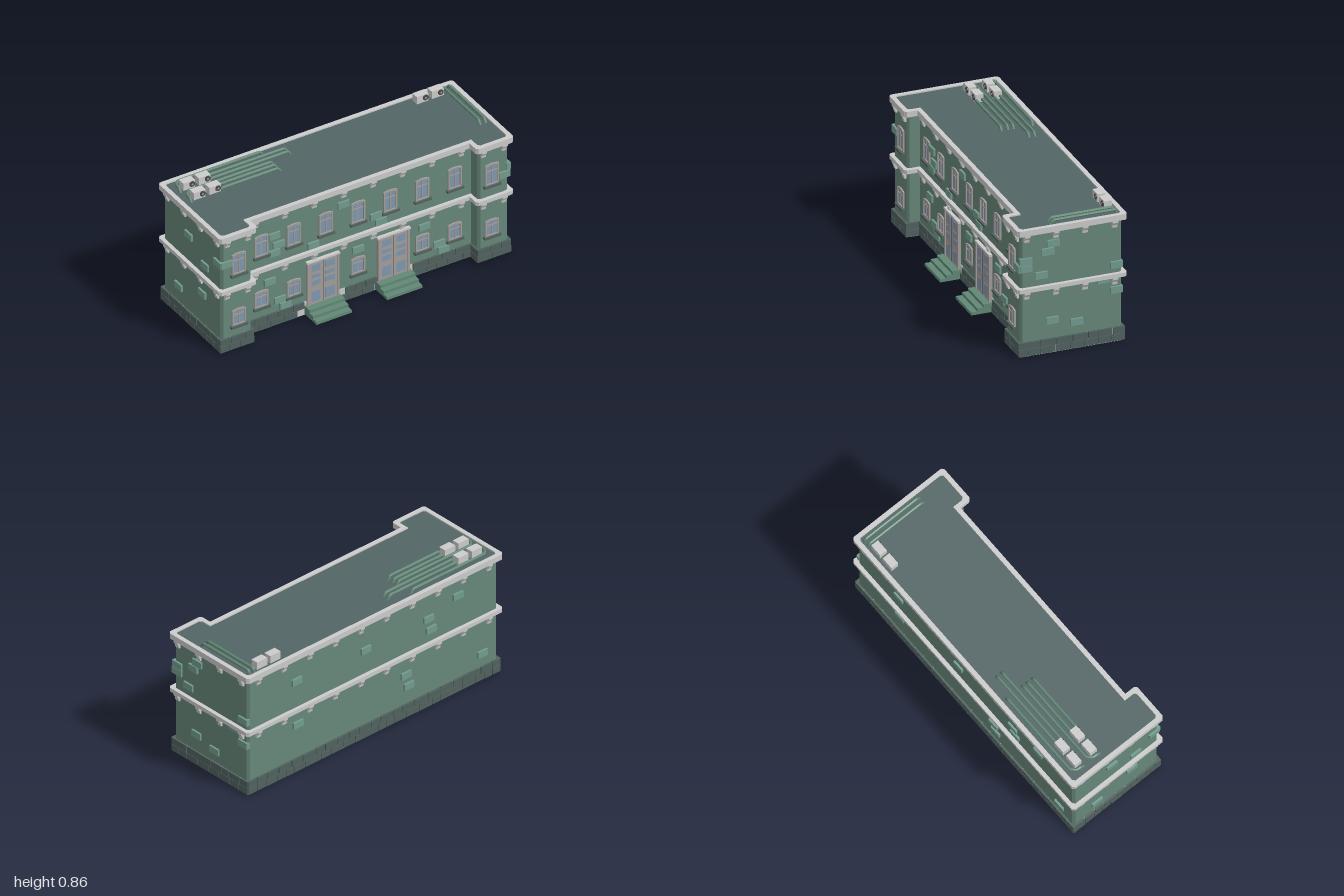
import * as THREE from 'three';

const mat = (color) => new THREE.MeshStandardMaterial({ color, side: THREE.DoubleSide, flatShading: true });
const M = {
  wall: mat(0x67877a), brick: mat(0x739c8f), stone: mat(0x50625f), roof: mat(0x536565), pale: mat(0xcccccc),
  frame: mat(0xa59e9a), glass: mat(0x8098b0), sill: mat(0x53625e), step: mat(0x628876), dark: mat(0x4a4a4a),
};
const X = 0.975, ZF = 0.302, ZR = 0.222, ZB = -0.332, XI = 0.77; // wall planes

// U-shaped footprint grown by d, with small chamfers on the outer corners
function outline(d, Type = THREE.Shape) {
  const x = X + d, f = -(ZF + d), r = -(ZR + d), b = -(ZB - d), i = XI - d, c = 0.014;
  const half = [[i, r], [i, f + c], [i + c, f], [x - c, f], [x, f + c], [x, b - c], [x - c, b]];
  const pts = [...half, ...half.map(([px, py]) => [-px, py]).reverse()];
  return new Type(pts.map(([px, py]) => new THREE.Vector2(px, py)));
}

function slab(shape, y, h) {
  const g = new THREE.ExtrudeGeometry(shape, { depth: h, bevelEnabled: false });
  return g.rotateX(-Math.PI / 2).translate(0, y, 0);
}

function ring(dOut, dIn, y, h) {
  const s = outline(dOut);
  s.holes.push(outline(dIn, THREE.Path));
  return slab(s, y, h);
}

function add(parent, name, geo, material, x = 0, y = 0, z = 0) {
  const m = new THREE.Mesh(geo, material);
  m.name = name;
  m.position.set(x, y, z);
  parent.add(m);
  return m;
}
const box = (p, name, material, w, h, d, x, y, z) => add(p, name, new THREE.BoxGeometry(w, h, d), material, x, y, z);

// Puts an object on a wall, its +z pointing outwards; u runs along the wall
function onWall(obj, side, u, y) {
  const spot = {
    front: [u, Math.abs(u) > XI ? ZF : ZR, 0], back: [u, ZB, Math.PI],
    right: [X, u, Math.PI / 2], left: [-X, u, -Math.PI / 2],
  }[side];
  obj.position.set(spot[0], y, spot[1]);
  obj.rotation.y = spot[2];
}

// Low arched outline, bottom centre at the origin
function arch(w, h, rise, Type = THREE.Shape) {
  const s = new Type();
  s.moveTo(-w / 2, 0).lineTo(w / 2, 0).lineTo(w / 2, h - rise);
  s.quadraticCurveTo(0, h + rise, -w / 2, h - rise).lineTo(-w / 2, 0);
  return s;
}

function makeWindow(h) {
  const g = new THREE.Group(), w = 0.092;
  g.name = 'window';
  const s = arch(w, h, 0.008), hole = arch(w - 0.02, h - 0.02, 0.008, THREE.Path);
  s.holes.push(new THREE.Path(hole.getPoints(6).map((p) => p.add(new THREE.Vector2(0, 0.01)))));
  const opt = { depth: 0.028, bevelEnabled: false, curveSegments: 6 };
  add(g, 'windowFrame', new THREE.ExtrudeGeometry(s, opt), M.frame, 0, 0, -0.018);
  add(g, 'glass', new THREE.ExtrudeGeometry(arch(w - 0.01, h - 0.008, 0.008), { ...opt, depth: 0.018 }), M.glass, 0, 0.003, -0.015);
  box(g, 'mullion', M.frame, 0.007, h - 0.012, 0.012, 0, h / 2, 0.001);
  box(g, 'transom', M.frame, w - 0.015, 0.006, 0.012, 0, h * 0.66, 0.001);
  box(g, 'sill', M.sill, 0.112, 0.014, 0.04, 0, -0.004, 0.001);
  return g;
}

function makeDoor() {
  const g = new THREE.Group();
  g.name = 'door';
  box(g, 'doorPanel', M.frame, 0.215, 0.3, 0.034, 0, 0.21, -0.003);
  box(g, 'lintel', M.pale, 0.225, 0.012, 0.044, 0, 0.361, 0);
  for (const s of [-1, 1]) {
    box(g, 'jamb', M.frame, 0.014, 0.3, 0.012, s * 0.101, 0.21, 0.014);
    for (const [y0, y1] of [[0.08, 0.15], [0.19, 0.225], [0.243, 0.268], [0.29, 0.335]])
      box(g, 'doorGlass', M.glass, 0.062, y1 - y0, 0.004, s * 0.049, (y0 + y1) / 2, 0.014);
  }
  box(g, 'doorSeam', M.dark, 0.003, 0.29, 0.003, 0, 0.21, 0.014);
  [0.12, 0.082, 0.044].forEach((d, i) =>
    box(g, 'step', M.step, 0.24, 0.019, d + 0.02, 0, 0.0145 + i * 0.019, d / 2 + 0.006));
  return g;
}

function bracketGeometry() {
  const s = new THREE.Shape([[-0.01, 0], [0.024, 0], [0.024, -0.012], [0.014, -0.028], [0.011, -0.046], [-0.01, -0.046]]
    .map(([x, y]) => new THREE.Vector2(x, y)));
  return new THREE.ExtrudeGeometry(s, { depth: 0.032, bevelEnabled: false }).translate(0, 0, -0.016).rotateY(-Math.PI / 2);
}

function pipe(parent, points) {
  const path = new THREE.CurvePath();
  const v = points.map((p) => new THREE.Vector3(...p));
  // straight runs joined by short rounded bends
  let last = v[0];
  for (let i = 1; i < v.length - 1; i++) {
    const a = v[i].clone().add(v[i - 1].clone().sub(v[i]).setLength(0.012));
    const b = v[i].clone().add(v[i + 1].clone().sub(v[i]).setLength(0.012));
    path.add(new THREE.LineCurve3(last, a));
    path.add(new THREE.QuadraticBezierCurve3(a, v[i], b));
    last = b;
  }
  path.add(new THREE.LineCurve3(last, v[v.length - 1]));
  add(parent, 'roofPipe', new THREE.TubeGeometry(path, 64, 0.009, 8), M.step);
}

function makeFanUnit() {
  const g = new THREE.Group();
  g.name = 'fanUnit';
  box(g, 'unitCase', M.pale, 0.08, 0.05, 0.05, 0, 0.025, 0);
  add(g, 'fan', new THREE.CylinderGeometry(0.018, 0.018, 0.008, 12).rotateX(Math.PI / 2), M.dark, 0.018, 0.029, 0.027);
  add(g, 'fanHub', new THREE.CylinderGeometry(0.007, 0.007, 0.01, 8).rotateX(Math.PI / 2), M.frame, 0.018, 0.029, 0.028);
  return g;
}

// Two courses of rough stones along every wall
function addStones(root) {
  let seed = 7;
  const rnd = () => (seed = (seed * 16807) % 2147483647) / 2147483647;
  const e = 0.012, runs = [
    [0, -X - e, ZF, -XI + e, ZF], [0, -XI, ZR, XI, ZR], [0, XI - e, ZF, X + e, ZF],
    [Math.PI, -X - e, ZB, X + e, ZB],
    [Math.PI / 2, X, ZB - e, X, ZF + e], [-Math.PI / 2, -X, ZB - e, -X, ZF + e],
    [Math.PI / 2, -XI, ZR, -XI, ZF + e], [-Math.PI / 2, XI, ZR, XI, ZF + e],
  ];
  for (const [rot, ax, az, bx, bz] of runs) {
    const len = Math.hypot(bx - ax, bz - az);
    for (const y of [0.0265, 0.071]) {
      for (let t = 0; t < len - 0.005;) {
        let w = 0.06 + rnd() * 0.045;
        if (len - t - w < 0.04) w = len - t;
        const k = (t + w / 2) / len, x = ax + (bx - ax) * k, z = az + (bz - az) * k;
        t += w;
        if (az === ZR && bz === ZR && Math.abs(Math.abs(x) - 0.24) < 0.107 + w / 2 - 0.03) continue;
        box(root, 'baseStone', M.stone, w - 0.004, 0.042, 0.03, x, y, z).rotation.y = rot;
        root.children.at(-1).translateZ(-0.003 + rnd() * 0.002);
      }
    }
  }
}

export function createModel() {
  const root = new THREE.Group();
  root.name = 'building';

  // Shell, open underneath
  add(root, 'walls', ring(0, -0.01, 0.088, 0.7), M.wall);
  add(root, 'baseMortar', ring(0.004, -0.008, 0, 0.09), M.pale);
  add(root, 'roof', slab(outline(-0.002), 0.785, 0.02), M.roof);
  add(root, 'upperCornice', ring(0.025, -0.004, 0.777, 0.036), M.pale);
  add(root, 'middleCornice', ring(0.025, -0.004, 0.414, 0.025), M.pale);
  addStones(root);

  // Brackets under both cornices
  const bracket = bracketGeometry();
  const spots = [];
  for (let i = 0; i < 10; i++) spots.push(['back', -0.9 + i * 0.2]);
  for (const s of [-1, 1]) for (const x of [0.1, 0.3, 0.5, 0.7, 0.8, 0.94]) spots.push(['front', s * x]);
  for (const side of ['left', 'right']) for (const z of [0.265, 0.083, -0.098, -0.283]) spots.push([side, z]);
  for (const y of [0.777, 0.414])
    for (const [side, u] of spots) onWall(add(root, 'bracket', bracket, M.pale), side, u, y);

  // Windows and doors
  for (let i = -4; i <= 4; i++) {
    const x = Math.abs(i) === 4 ? Math.sign(i) * 0.86 : i * 0.2187;
    const upper = makeWindow(0.148);
    onWall(upper, 'front', x, 0.519);
    root.add(upper);
    if (Math.abs(i) === 1) continue;
    const lower = makeWindow(0.114);
    onWall(lower, 'front', x, 0.162);
    root.add(lower);
  }
  for (const x of [-0.243, 0.237]) {
    const door = makeDoor();
    onWall(door, 'front', x, 0);
    root.add(door);
  }

  // Raised bricks
  const bricks = {
    front: [[-0.945, 0.61], [-0.57, 0.63], [-0.1, 0.68], [-0.57, 0.51], [-0.54, 0.56], [-0.305, 0.47], [0.12, 0.52], [0.155, 0.47],
      [-0.6, 0.32], [0, 0.33], [0.45, 0.325], [-0.53, 0.17], [-0.495, 0.12], [0.55, 0.17], [0.58, 0.12], [0.945, 0.56]],
    right: [[0.098, 0.698], [0.133, 0.649], [0.27, 0.607], [0.268, 0.562], [0.173, 0.505], [-0.295, 0.492], [-0.215, 0.408],
      [-0.295, 0.332], [0.105, 0.206], [-0.048, 0.17]],
    left: [[0.268, 0.61], [-0.05, 0.62], [0.13, 0.51], [0.1, 0.3], [-0.16, 0.2]],
    back: [[0.06, 0.6], [-0.43, 0.6], [-0.45, 0.52], [-0.66, 0.66], [0.6, 0.62], [-0.255, 0.29], [-0.275, 0.21], [0.59, 0.32], [-0.85, 0.18]],
  };
  for (const [side, list] of Object.entries(bricks))
    for (const [u, y] of list) onWall(box(root, 'raisedBrick', M.brick, 0.076, 0.043, 0.026, 0, 0, 0), side, u, y);

  // Rooftop units and pipes
  for (const [x, z] of [[-0.87, -0.245], [-0.765, -0.245], [-0.87, -0.13], [-0.765, -0.13], [0.74, -0.283], [0.843, -0.283]]) {
    const unit = makeFanUnit();
    unit.position.set(x, 0.806, z);
    root.add(unit);
  }
  const lo = 0.795, hi = 0.826;
  for (const [z, x1] of [[-0.257, -0.18], [-0.22, -0.18], [-0.145, -0.32], [-0.105, -0.32]])
    pipe(root, [[-0.72, hi, z], [x1 - 0.02, hi, z], [x1, lo, z]]);
  for (const z of [-0.3, -0.18])
    pipe(root, [[-0.93, lo, z + 0.085], [-0.93, hi, z + 0.065], [-0.93, hi, z + 0.03], [-0.9, hi, z], [-0.34, hi, z], [-0.32, lo, z]]);
  for (const x of [0.907, 0.944])
    pipe(root, [[x, lo, -0.31], [x, hi, -0.302], [x, hi, 0.085], [x, lo, 0.108]]);
  return root;
}
